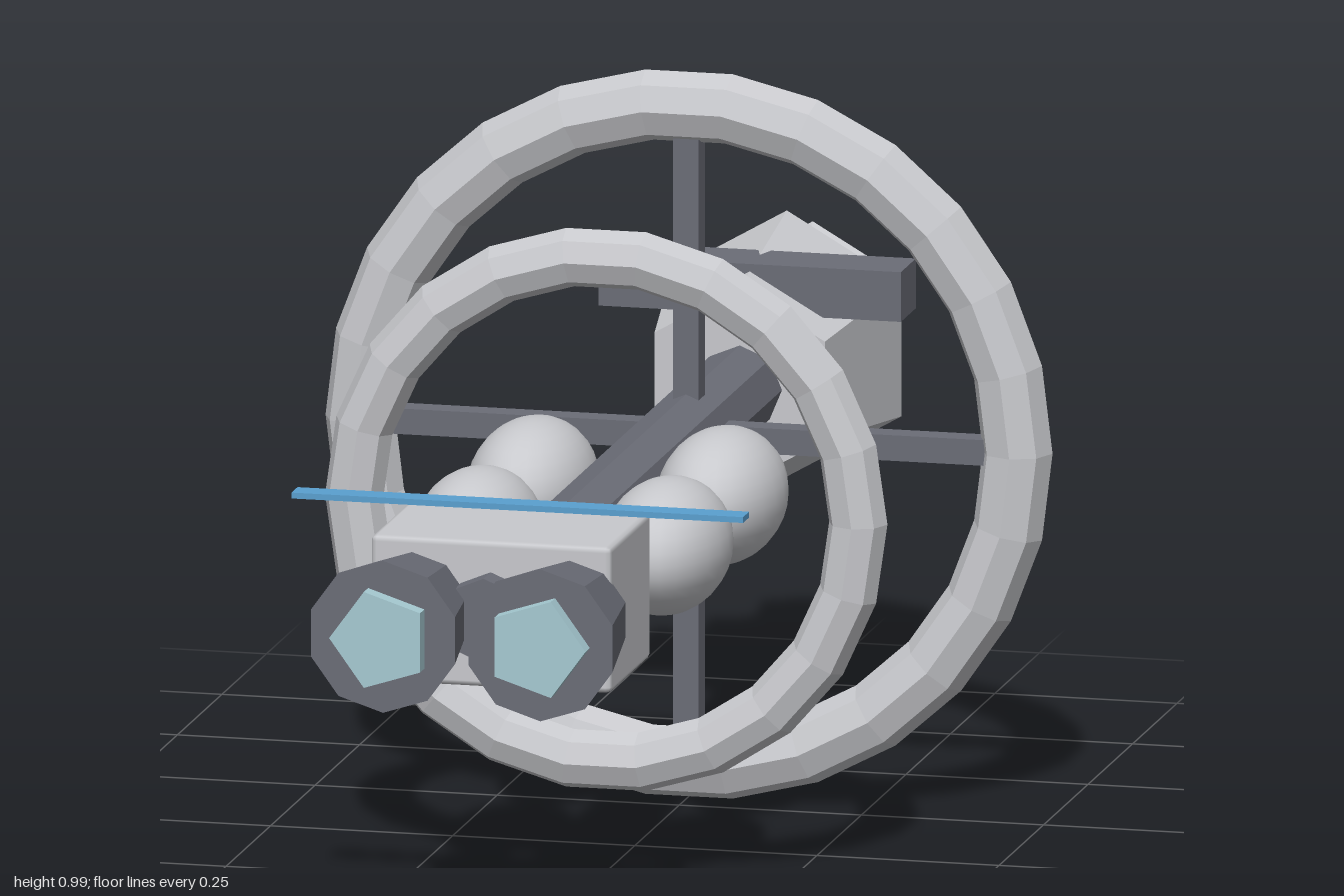
import * as THREE from 'three';
import { RoundedBoxGeometry } from 'three/addons/geometries/RoundedBoxGeometry.js';

const material = (name, color) => {
  const m = new THREE.MeshStandardMaterial({ color });
  m.name = name;
  return m;
};

// Faceted normals for the low-poly parts
const facet = (geometry) => {
  const g = geometry.index ? geometry.toNonIndexed() : geometry;
  g.computeVertexNormals();
  return g;
};

// Cylinder or cone along z; the radii are those of its front and back ends
const zCylinder = (front, back, length, sides, start = 0) =>
  facet(new THREE.CylinderGeometry(front, back, length, sides, 1, false, start).rotateX(Math.PI / 2));

export function createModel() {
  const hull = material('light grey hull', 0xc8c9cd);
  const dark = material('dark grey metal', 0x6b6d77);
  const blue = material('blue panel', 0x5aa0d0);
  const glow = material('pale blue glow', 0xa6cad2);

  const model = new THREE.Group();
  model.name = 'spaceStation';
  const axis = new THREE.Group(); // everything sits around the long central axis
  axis.name = 'station';
  axis.position.y = 0.502;
  model.add(axis);

  const add = (name, geometry, mat, x, y, z) => {
    const mesh = new THREE.Mesh(geometry, mat);
    mesh.name = name;
    mesh.position.set(x, y, z);
    axis.add(mesh);
    return mesh;
  };

  // Central spine
  add('spine', zCylinder(0.058, 0.058, 1.6, 8), dark, 0, 0, 0.05);

  // Habitat rings, with a cross of spokes in the large one
  add('largeRing', facet(new THREE.TorusGeometry(0.451, 0.048, 8, 26)), hull, 0, 0, -0.305);
  add('smallRing', facet(new THREE.TorusGeometry(0.346, 0.04, 8, 22)), hull, 0, 0, 0.16);
  add('verticalSpoke', new THREE.BoxGeometry(0.035, 0.82, 0.035), dark, 0, 0, -0.305);
  add('horizontalSpoke', new THREE.BoxGeometry(0.82, 0.035, 0.035), dark, 0, 0, -0.305);

  // Engine block with the thin panel above it
  add('engineBlock', new RoundedBoxGeometry(0.33, 0.2, 0.225, 1, 0.008), hull, 0, 0, 0.697);
  add('panel', new THREE.BoxGeometry(0.62, 0.008, 0.034), blue, 0, 0.113, 0.643);

  for (const side of [-1, 1]) {
    // Engines
    add('engineNozzle', zCylinder(0.104, 0.078, 0.175, 10), dark, side * 0.108, 0, 0.885);
    add('engineGlow', zCylinder(0.069, 0.069, 0.05, 5, side * Math.PI / 2), glow, side * 0.107, 0, 0.972);
    // Ellipsoid tanks, two on each side
    for (const z of [0.35, 0.04]) {
      const tank = add('tank', new THREE.SphereGeometry(1, 24, 16), hull, side * 0.13, 0, z);
      tank.scale.set(0.085, 0.091, 0.14);
    }
  }

  // Hexagonal command module, its crossbar and the rear dish
  add('commandModule', zCylinder(0.135, 0.182, 0.265, 6), hull, 0, 0.002, -0.722);
  add('crossbar', new THREE.BoxGeometry(0.415, 0.068, 0.085), dark, 0, 0.123, -0.688);
  add('rearDish', zCylinder(0, 0.135, 0.135, 6), hull, 0, 0.002, -0.932);

  return model;
}
